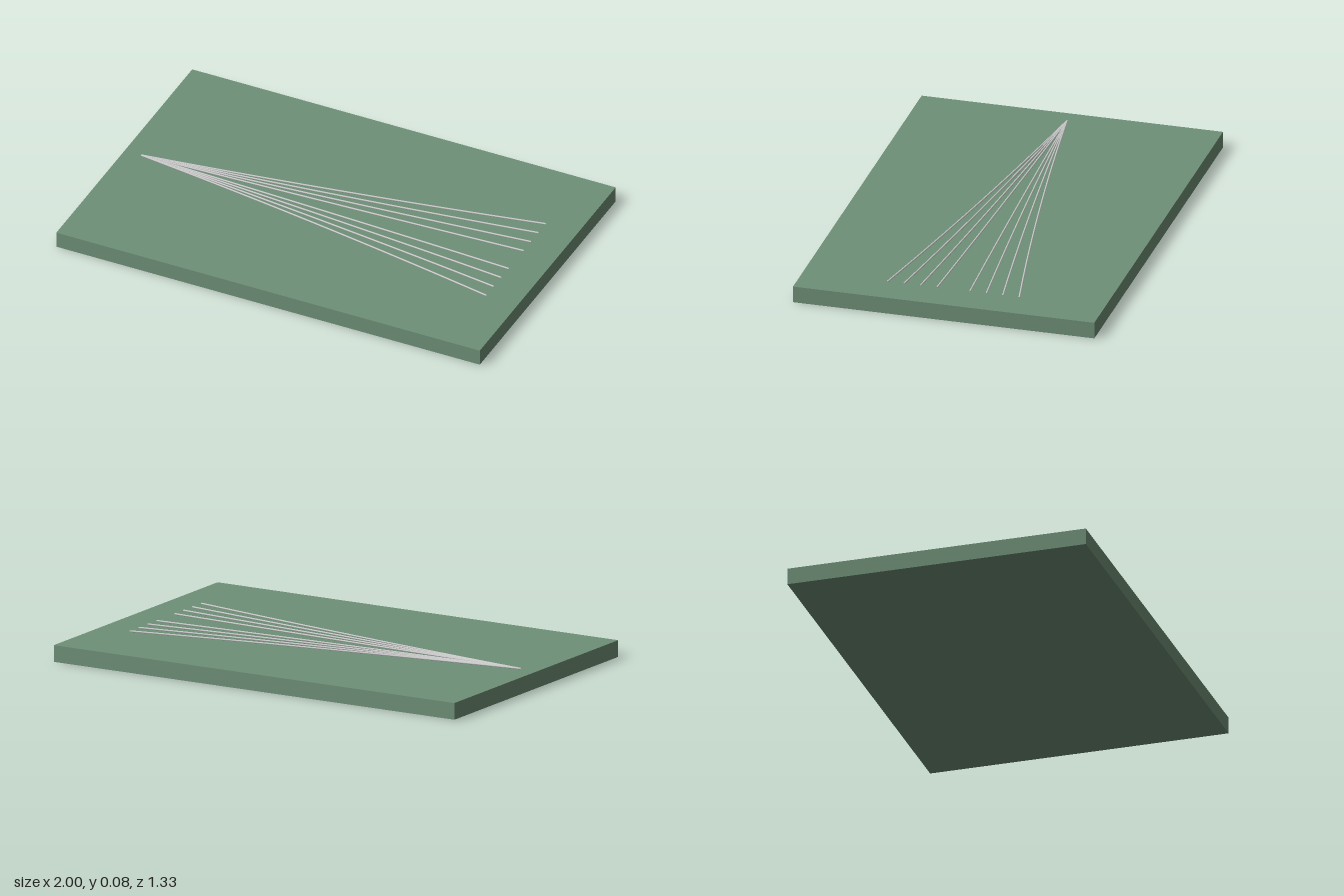
import * as THREE from 'three';

const BOARD_H = 0.073;
const START_X = -0.92, END_X = 0.85;

// One thin strand that leaves the shared point and bends gently outwards
function makeStrand(index, material) {
  const endZ = index * 0.073;
  const points = [];
  for (let i = 0; i <= 8; i++) {
    const t = i / 8;
    points.push(new THREE.Vector3(
      THREE.MathUtils.lerp(START_X, END_X, t),
      BOARD_H + 0.003,
      endZ * (0.8 * t + 0.2 * t * t)
    ));
  }
  const curve = new THREE.CatmullRomCurve3(points);
  const strand = new THREE.Mesh(new THREE.TubeGeometry(curve, 32, 0.004, 8), material);
  strand.name = 'strand';
  return strand;
}

export function createModel() {
  const model = new THREE.Group();
  model.name = 'fanBoard';
  const green = new THREE.MeshStandardMaterial({ color: 0x6f9078 });
  const grey = new THREE.MeshStandardMaterial({ color: 0xcccccc, side: THREE.DoubleSide });

  // Flat base board
  const board = new THREE.Mesh(new THREE.BoxGeometry(2, BOARD_H, 1.333), green);
  board.name = 'board';
  board.position.y = BOARD_H / 2;
  model.add(board);

  // Fan of eight strands, four to each side of the centre line
  const fan = new THREE.Group();
  fan.name = 'strandFan';
  for (const side of [-1, 1]) {
    for (let i = 1; i <= 4; i++) fan.add(makeStrand(side * i, grey));
  }
  model.add(fan);
  return model;
}
